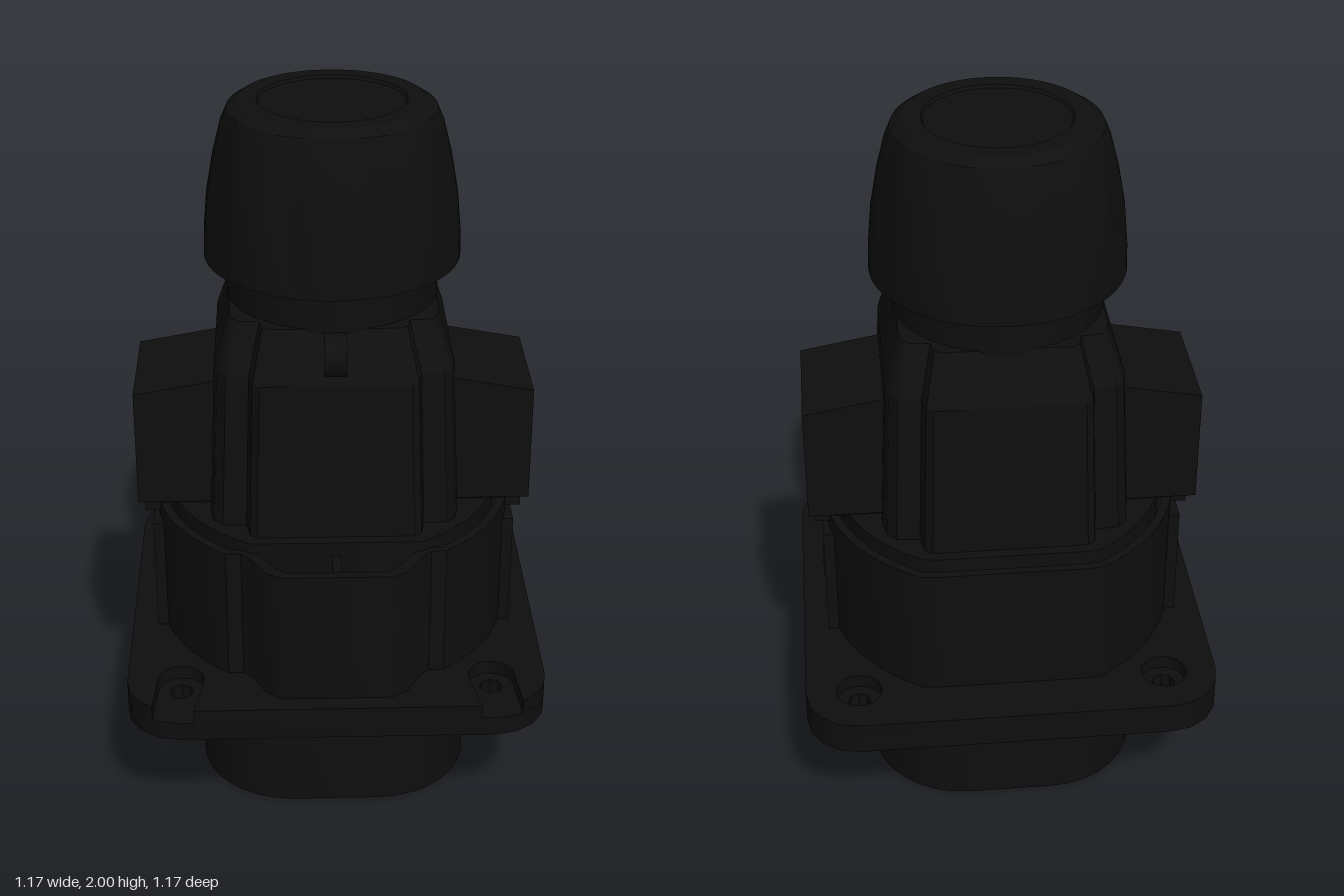
import * as THREE from 'three';
import { toCreasedNormals } from 'three/addons/utils/BufferGeometryUtils.js';

const black = new THREE.MeshStandardMaterial({ color: 0x0e0e0e });
black.name = 'matte black';

function add(parent, name, geo, crease = 0.6) {
  const mesh = new THREE.Mesh(toCreasedNormals(geo, crease), black);
  mesh.name = name;
  parent.add(mesh);
  return mesh;
}

// Vertical prism from [x, z] outline points, with optional holes
function slab(points, y0, y1, holes = []) {
  const flat = (pts) => pts.map(([x, z]) => new THREE.Vector2(x, -z));
  const shape = new THREE.Shape(flat(points));
  holes.forEach((h) => shape.holes.push(new THREE.Path(flat(h))));
  const geo = new THREE.ExtrudeGeometry(shape, { depth: y1 - y0, bevelEnabled: false });
  return geo.rotateX(-Math.PI / 2).translate(0, y0, 0);
}

// Scale the top of a prism linearly
function taper(geo, y0, y1, sx, sz) {
  const p = geo.attributes.position;
  for (let i = 0; i < p.count; i++) {
    const t = (p.getY(i) - y0) / (y1 - y0);
    p.setX(i, p.getX(i) * (1 + (sx - 1) * t));
    p.setZ(i, p.getZ(i) * (1 + (sz - 1) * t));
  }
  return geo;
}

function arc(cx, cz, r, a0, a1, n) {
  return Array.from({ length: n + 1 }, (_, i) => {
    const a = a0 + ((a1 - a0) * i) / n;
    return [cx + r * Math.cos(a), cz + r * Math.sin(a)];
  });
}

const mirrorPts = (pts) => [...pts, ...pts.map(([x, z]) => [-x, z]).reverse()];
const roundedSquare = (h, r, n) => mirrorPts([
  ...arc(h - r, h - r, r, Math.PI / 2, 0, n),
  ...arc(h - r, r - h, r, 0, -Math.PI / 2, n),
]);
const circle = (x, z, r, n) => arc(x, z, r, 0, 2 * Math.PI, n).slice(0, -1);

// Round collar outline, flat at the back, with an optional front bump
function collar(inset, front, back, bump) {
  const r = 0.505 - inset;
  const side = arc(0, 0, r, Math.asin(front / r), -Math.PI / 2, 24)
    .map(([x, z]) => [x, Math.max(z, -back)]);
  const nose = [[0.15 - inset / 2, 0.535 - inset], [0.195 - inset, 0.505 - inset],
    [0.235 - inset, 0.43 - inset / 2], [0.26 - inset, front]];
  return mirrorPts([...(bump ? nose : []), ...side.slice(0, -1)]);
}

function box(parent, name, x0, x1, y0, y1, z0, z1) {
  const geo = new THREE.BoxGeometry(x1 - x0, y1 - y0, z1 - z0);
  return add(parent, name, geo.translate((x0 + x1) / 2, (y0 + y1) / 2, (z0 + z1) / 2));
}

// Side latch, built facing +x
function makeLatch(name) {
  const g = new THREE.Group();
  g.name = name;
  const side = (pts, z0, z1) => {
    const shape = new THREE.Shape(pts.map(([x, y]) => new THREE.Vector2(x, y)));
    return new THREE.ExtrudeGeometry(shape, { depth: z1 - z0, bevelEnabled: false }).translate(0, 0, z0);
  };
  add(g, 'latchBody', side([[0.28, 0.88], [0.49, 0.88], [0.49, 1.22], [0.28, 1.255]], -0.17, 0.17));
  const cheek = [[0.32, 0.885], [0.55, 0.885], [0.55, 1.22], [0.32, 1.262]];
  add(g, 'latchCheekFront', side(cheek, 0.135, 0.175));
  add(g, 'latchCheekBack', side(cheek, -0.175, -0.135));
  add(g, 'latchHood', side([[0.32, 1.14], [0.55, 1.14], [0.55, 1.22], [0.32, 1.262]], -0.135, 0.135));
  box(g, 'latchLever', 0.48, 0.515, 0.89, 1.12, -0.12, 0.12);
  for (const s of [-1, 1]) {
    box(g, 'latchTab', 0.485, 0.535, 0.825, 0.9, s * 0.095 - 0.02, s * 0.095 + 0.02);
  }
  const ring = new THREE.TorusGeometry(0.05, 0.013, 8, 24).rotateY(Math.PI / 2).translate(0.515, 0.9, 0);
  add(g, 'latchPivotRing', ring);
  box(g, 'sidePad', 0.4, 0.513, 0.46, 0.8, -0.15, 0.15);
  box(g, 'padMark', 0.51, 0.518, 0.57, 0.63, -0.035, 0.035);
  return g;
}

export function createModel() {
  const model = new THREE.Group();
  model.name = 'connector';

  // Lower insert and mounting flange
  add(model, 'lowerBase', slab(roundedSquare(0.39, 0.27, 8), 0, 0.37));
  const H = 0.435;
  const corners = [[H, H], [-H, H], [H, -H], [-H, -H]];
  add(model, 'flangePlate', slab(roundedSquare(0.585, 0.15, 4), 0.365, 0.42,
    corners.map(([x, z]) => circle(x, z, 0.033, 8))));
  // The front screw seats are open to the flange edge
  const slotted = mirrorPts([
    [0.395, 0.585], ...arc(H, H, 0.065, Math.PI, 2 * Math.PI, 10),
    ...arc(H, H, 0.15, Math.PI / 3, 0, 3), ...arc(H, -H, 0.15, 0, -Math.PI / 2, 4),
  ]);
  add(model, 'flangeTop', slab(slotted, 0.42, 0.46,
    corners.slice(2).map(([x, z]) => circle(x, z, 0.065, 16))));

  // Socket housing with the plug rim inside
  add(model, 'housing', slab(collar(0, 0.405, 0.443, true), 0.46, 0.85,
    [collar(0.025, 0.385, 0.42, true)]));
  add(model, 'housingFloor', slab(collar(0.02, 0.39, 0.425, true), 0.45, 0.78));
  box(model, 'noseRib', -0.012, 0.012, 0.77, 0.84, 0.39, 0.515);
  add(model, 'plugRim', slab(collar(0.038, 0.405, 0.405, false), 0.7, 0.88));

  // Plug body: wide block crossed by a deeper centre slab
  const section = mirrorPts([
    [0.215, 0.375], [0.235, 0.36], [0.245, 0.305], [0.31, 0.3], [0.335, 0.275], [0.345, 0.22],
    [0.345, -0.22], [0.335, -0.275], [0.31, -0.3], [0.245, -0.305], [0.235, -0.36], [0.215, -0.375],
  ]);
  add(model, 'plugBody', taper(slab(section, 0.87, 1.33), 0.87, 1.33, 0.94, 0.955));
  const top = section.map(([x, z]) => [x * 0.94, z * 0.955]);
  add(model, 'plugShoulder', taper(slab(top, 1.33, 1.46), 1.33, 1.46, 0.87, 0.78));
  add(model, 'neck', new THREE.CylinderGeometry(0.29, 0.29, 0.2, 48).translate(0, 1.51, 0));

  // Small loop on the front shoulder
  const loop = new THREE.Shape().absarc(0, 0, 0.058, 0, 2 * Math.PI);
  loop.holes.push(new THREE.Path().absarc(0, 0, 0.04, 0, 2 * Math.PI));
  const loopGeo = new THREE.ExtrudeGeometry(loop, { depth: 0.06, bevelEnabled: false, curveSegments: 16 });
  add(model, 'frontLoop', loopGeo.translate(0, 0, -0.03).rotateY(Math.PI / 2).translate(0, 1.4, 0.312));

  // Fluted gland cap
  const profile = [[0.28, 1.6], [0.32, 1.6], [0.328, 1.57], [0.35, 1.57], [0.348, 1.64], [0.338, 1.75],
    [0.32, 1.85], [0.297, 1.94], [0.28, 1.98], [0.25, 2], [0.2, 2], [0.195, 1.992], [0, 1.992]];
  const cap = new THREE.LatheGeometry(profile.map(([x, y]) => new THREE.Vector2(x, y)), 80);
  const p = cap.attributes.position;
  for (let i = 0; i < p.count; i++) {
    const x = p.getX(i), y = p.getY(i), z = p.getZ(i);
    if (y < 1.63 || y > 1.95) continue;
    const dent = Math.max(0, -Math.cos(8 * Math.atan2(z, x)));
    const k = 1 - 0.04 * dent * Math.sin(((y - 1.57) / 0.4) * Math.PI);
    p.setX(i, x * k);
    p.setZ(i, z * k);
  }
  add(model, 'glandCap', cap, 0.5);

  // Latches on both sides
  const left = makeLatch('leftLatch');
  const right = makeLatch('rightLatch');
  right.rotation.y = Math.PI;
  model.add(left, right);
  return model;
}
